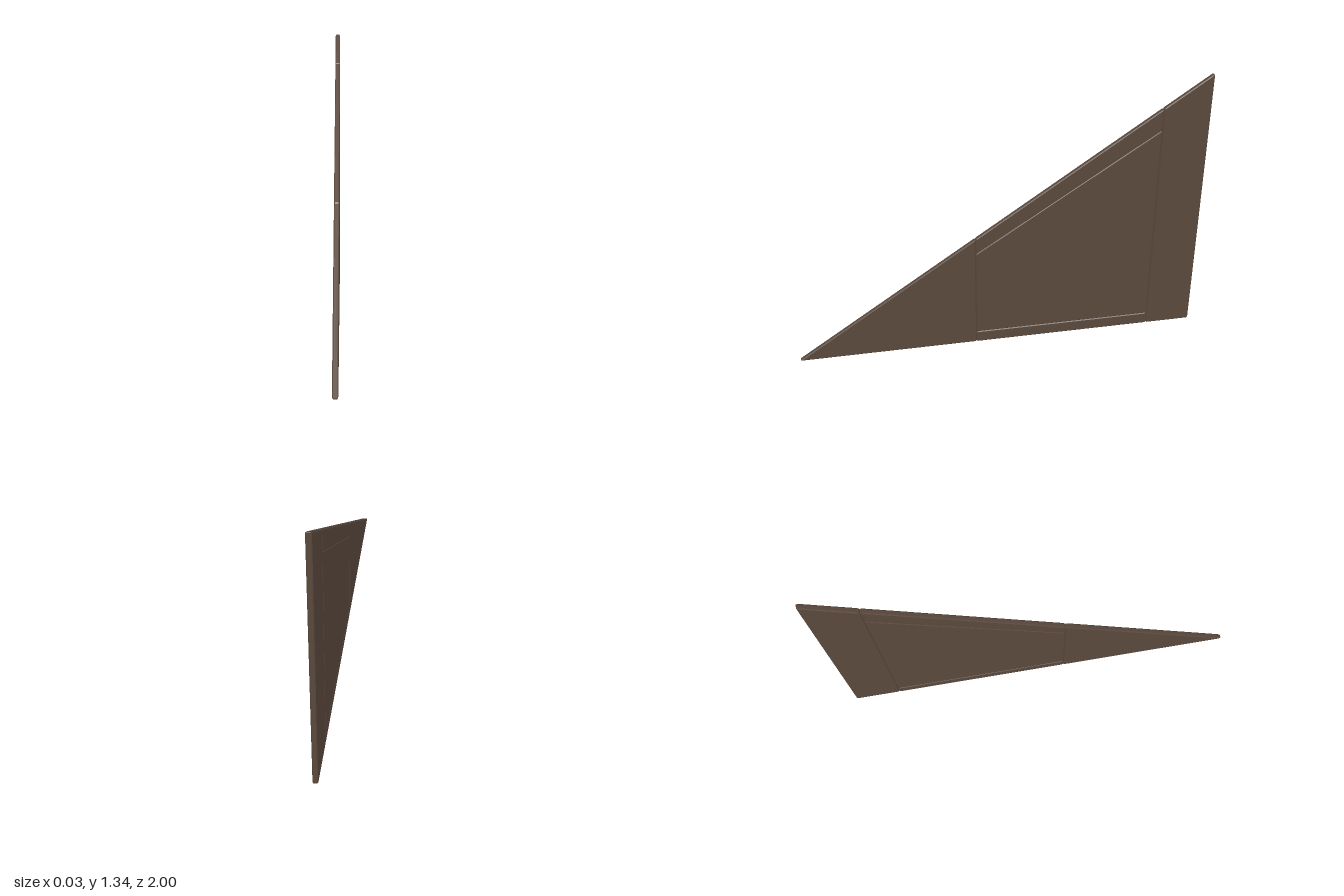
import * as THREE from 'three';

const HALF = 0.0125;   // half thickness
const BEVEL = 0.004;   // chamfer along the panel edges
const CORNER = 0.005;  // small cut at each panel corner

// Outline points are [s, y] with s = -z, counter-clockwise seen from +x.
function inset(points, d) {
  const n = points.length;
  return points.map((p, i) => {
    const a = points[(i + n - 1) % n], b = points[(i + 1) % n];
    const u = new THREE.Vector2(p[0] - a[0], p[1] - a[1]).normalize();
    const v = new THREE.Vector2(b[0] - p[0], b[1] - p[1]).normalize();
    const k = d / u.cross(v);
    return [p[0] + (v.x - u.x) * k, p[1] + (v.y - u.y) * k];
  });
}

function cutCorners(points) {
  const n = points.length;
  return points.flatMap((p, i) => [points[(i + n - 1) % n], points[(i + 1) % n]].map((q) => {
    const t = CORNER / Math.hypot(q[0] - p[0], q[1] - p[1]);
    return [p[0] + (q[0] - p[0]) * t, p[1] + (q[1] - p[1]) * t];
  }));
}

// Convex board lofted through four outlines across its thickness
function boardGeometry(points) {
  const sections = [[-HALF, BEVEL], [-HALF + BEVEL, 0], [HALF - BEVEL, 0], [HALF, BEVEL]];
  const rings = sections.map(([x, d]) => cutCorners(inset(points, d)).map(([s, y]) => [x, y, -s]));
  const n = rings[0].length, pos = [];
  const tri = (a, b, c) => pos.push(...a, ...b, ...c);
  for (let r = 0; r < 3; r++) {
    for (let i = 0; i < n; i++) {
      const j = (i + 1) % n, a = rings[r], b = rings[r + 1];
      tri(a[i], a[j], b[j]);
      tri(a[i], b[j], b[i]);
    }
  }
  for (let i = 1; i < n - 1; i++) {
    tri(rings[3][0], rings[3][i], rings[3][i + 1]);
    tri(rings[0][0], rings[0][i + 1], rings[0][i]);
  }
  const g = new THREE.BufferGeometry();
  g.setAttribute('position', new THREE.Float32BufferAttribute(pos, 3));
  g.computeVertexNormals();
  return g;
}

export function createModel() {
  const group = new THREE.Group();
  group.name = 'triangularPanel';
  const wood = new THREE.MeshStandardMaterial({ color: 0x5a483c });
  wood.name = 'darkWood';

  const top = (s) => 0.6725 * (1 + s);          // sloping upper edge
  const front = -0.12, back = 0.77;             // vertical joints
  const railY = 0.06, slopeF = 0.51, slopeB = 1.085;

  const boards = {
    frontGusset: [[-1, 0], [front, 0], [front, top(front)]],
    bottomRail: [[front, 0], [back, 0], [back, railY], [front, railY]],
    centrePanel: [[front, railY], [back, railY], [back, slopeB], [front, slopeF]],
    slopingRail: [[front, slopeF], [back, slopeB], [back, top(back)], [front, top(front)]],
    backPost: [[back, 0], [1, 0], [1, top(1)], [back, top(back)]],
  };
  for (const [name, points] of Object.entries(boards)) {
    const mesh = new THREE.Mesh(boardGeometry(points), wood);
    mesh.name = name;
    group.add(mesh);
  }
  return group;
}
